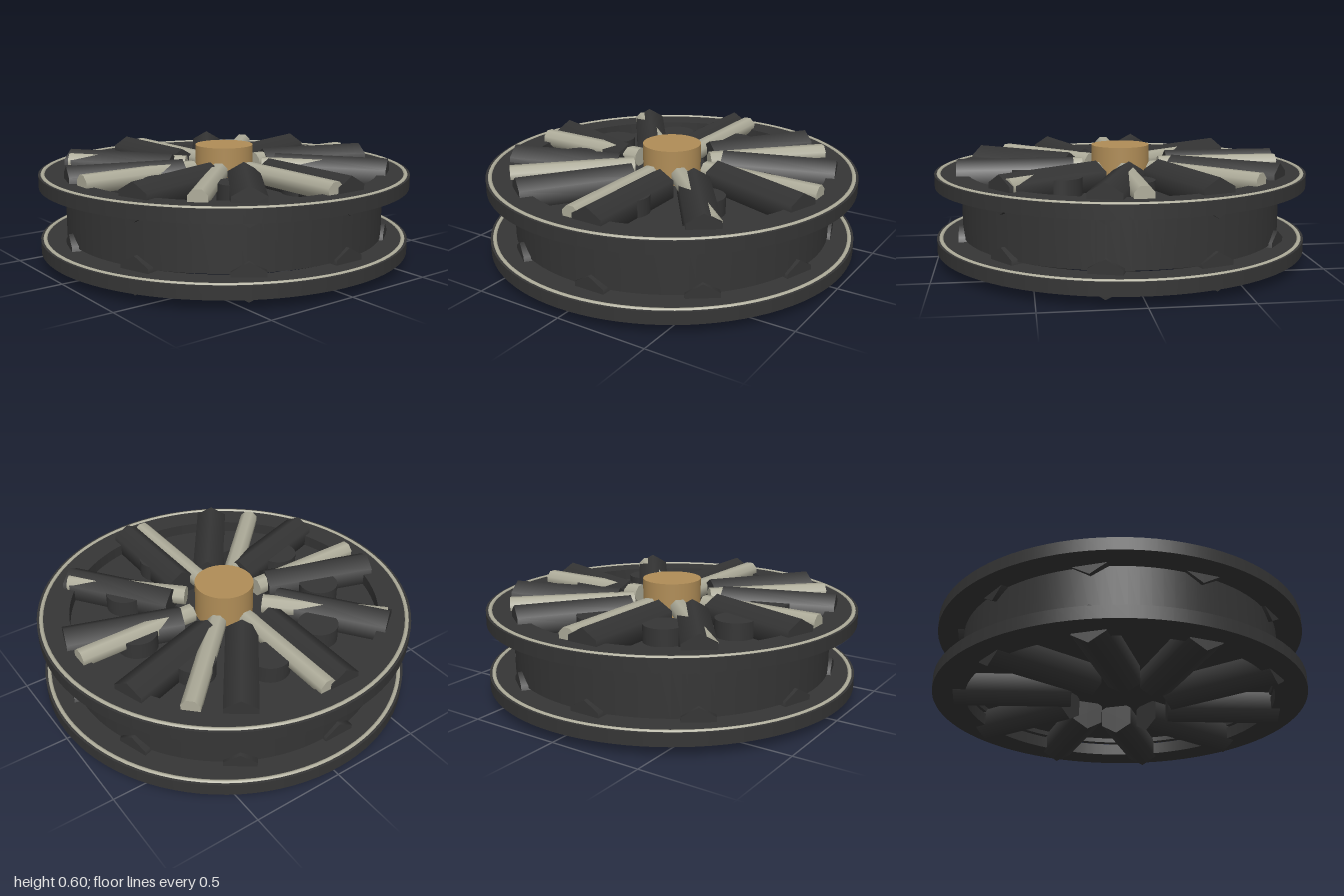
import * as THREE from 'three';

const darkSteel = new THREE.MeshStandardMaterial({ color: 0x353535 });
darkSteel.name = 'dark steel';
const paleMetal = new THREE.MeshStandardMaterial({ color: 0xaeac9a });
paleMetal.name = 'pale metal';
const bronze = new THREE.MeshStandardMaterial({ color: 0xb08d57 });
bronze.name = 'bronze';

function add(parent, name, geometry, material) {
  const mesh = new THREE.Mesh(geometry, material);
  mesh.name = name;
  parent.add(mesh);
  return mesh;
}

// Upright tube with a rectangular wall, turned about y
function ring(inner, outer, y0, y1) {
  const points = [];
  const corners = [[inner, y0], [outer, y0], [outer, y1], [inner, y1], [inner, y0]];
  for (let i = 0; i < 4; i++) {
    // doubled corners keep the edges sharp
    points.push(new THREE.Vector2(...corners[i]), new THREE.Vector2(...corners[i + 1]));
  }
  return new THREE.LatheGeometry(points, 96);
}

function disc(radius, y0, y1, sides = 64) {
  return new THREE.CylinderGeometry(radius, radius, y1 - y0, sides).translate(0, (y0 + y1) / 2, 0);
}

// Bar along +x from radius r0 to r1, with a vertex or flat turned by spin
function bar(radius, sides, r0, r1, y, z, spin) {
  return new THREE.CylinderGeometry(radius, radius, r1 - r0, sides)
    .rotateY(spin)
    .rotateZ(-Math.PI / 2)
    .translate((r0 + r1) / 2, y, z);
}

// Copies a part around the axle
function around(parent, name, count, start, geometry, material) {
  const group = new THREE.Group();
  group.name = name + 's';
  for (let i = 0; i < count; i++) {
    add(group, name, geometry, material).rotation.y = start + (i * 2 * Math.PI) / count;
  }
  parent.add(group);
}

export function createModel() {
  const wheel = new THREE.Group();
  wheel.name = 'wheel';

  // Drum and the web inside it
  add(wheel, 'drum', ring(0.825, 0.86, 0.134, 0.41), darkSteel);
  add(wheel, 'web', disc(0.83, 0.16, 0.41, 96), darkSteel);

  // Flanges with pale trim, and the heavy spokes of each side
  for (const [side, y, spokeY] of [['lower', 0.055, 0.0975], ['upper', 0.405, 0.4525]]) {
    add(wheel, side + 'Flange', ring(0.83, 1, y, y + 0.067), darkSteel);
    const trim = new THREE.TorusGeometry(0.977, 0.012, 8, 96).rotateX(Math.PI / 2);
    add(wheel, side + 'Trim', trim, paleMetal).position.y = y + 0.063;
    around(wheel, side + 'Spoke', 10, Math.PI / 2,
      bar(0.0975, 6, 0.265, 0.877, spokeY, -0.097, Math.PI / 2), darkSteel);
  }

  // Slim pale spokes on top
  around(wheel, 'slimSpoke', 8, 0, bar(0.052, 8, 0.21, 0.872, 0.483, 0, Math.PI / 8), paleMetal);

  // Round bosses between the spokes
  around(wheel, 'boss', 9, 0, disc(0.105, 0.38, 0.5, 32).translate(0.54, 0, 0), darkSteel);

  // Hub cap
  add(wheel, 'hub', disc(0.157, 0.3, 0.602), bronze);

  return wheel;
}
